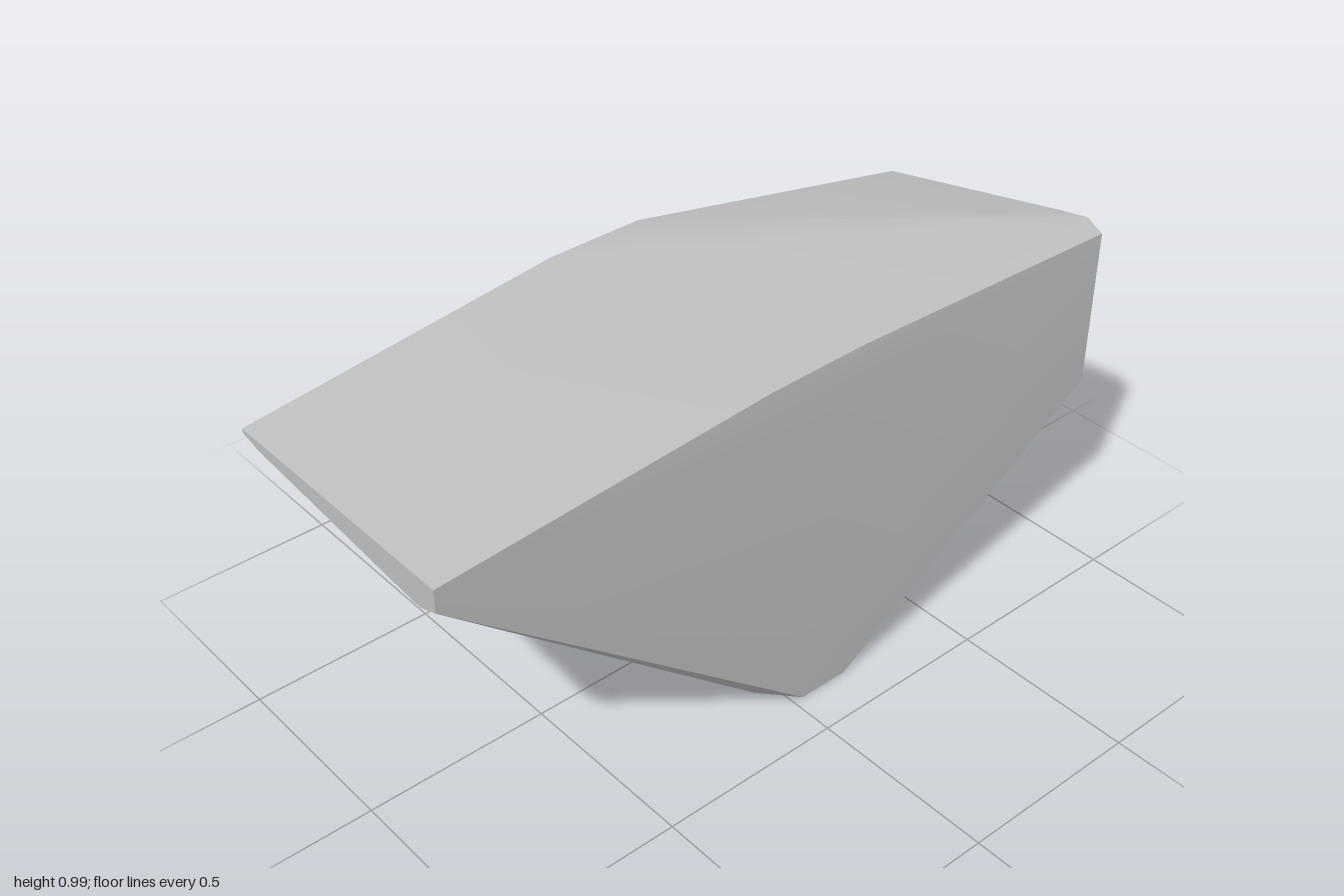
import * as THREE from 'three';
import { ConvexGeometry } from 'three/addons/geometries/ConvexGeometry.js';
import { toCreasedNormals } from 'three/addons/utils/BufferGeometryUtils.js';

export function createModel() {
  const group = new THREE.Group();
  const grey = new THREE.MeshStandardMaterial({ color: 0xbfbfbf });
  grey.name = 'plain grey';

  // tall cut face on the left end: [z, y] at x = 1
  const leftEnd = [[0.38, 0.96], [0.33, 0.985], [0.24, 0.968], [-0.335, 0.845], [-0.373, 0.775],
    [-0.35, 0.675], [-0.285, 0.638], [0.24, 0.517], [0.33, 0.508], [0.38, 0.526]];
  // thin tapering cut face on the right end: [z, y] at x = -1
  const rightEnd = [[0.375, 0.91], [0.375, 0.85], [0.32, 0.83], [0.24, 0.836],
    [-0.29, 0.885], [-0.348, 0.9], [-0.348, 0.91]];
  // rounded foot: [x, z] at y = 0
  const foot = [[0.2, 0.345], [0.17, 0.38], [0.03, 0.38], [-0.05, 0.29], [0, -0.28],
    [0.06, -0.345], [0.14, -0.368], [0.22, -0.35], [0.265, -0.28]];
  // slight swell of the top ridge, front and back: [x, y, z]
  const swell = [[0.18, 0.985, 0.38], [-0.1, 0.982, 0.382], [0.1, 0.15, 0.386], [0.1, 0.9, 0.386],
    [0.15, 0.985, -0.386], [-0.12, 0.985, -0.384], [0.12, 0.2, -0.385], [0.6, 0.85, -0.386],
    [-0.5, 0.8, -0.382], [-0.85, 0.86, -0.366]];

  const points = [
    ...leftEnd.map(([z, y]) => new THREE.Vector3(1, y, z)),
    ...rightEnd.map(([z, y]) => new THREE.Vector3(-1, y, z)),
    ...foot.map(([x, z]) => new THREE.Vector3(x, 0, z)),
    ...swell.map((p) => new THREE.Vector3(...p)),
  ];

  // one solid block with soft long faces and sharp cut ends
  const block = new THREE.Mesh(toCreasedNormals(new ConvexGeometry(points), 0.6), grey);
  block.name = 'wedgeBlock';
  group.add(block);
  return group;
}
